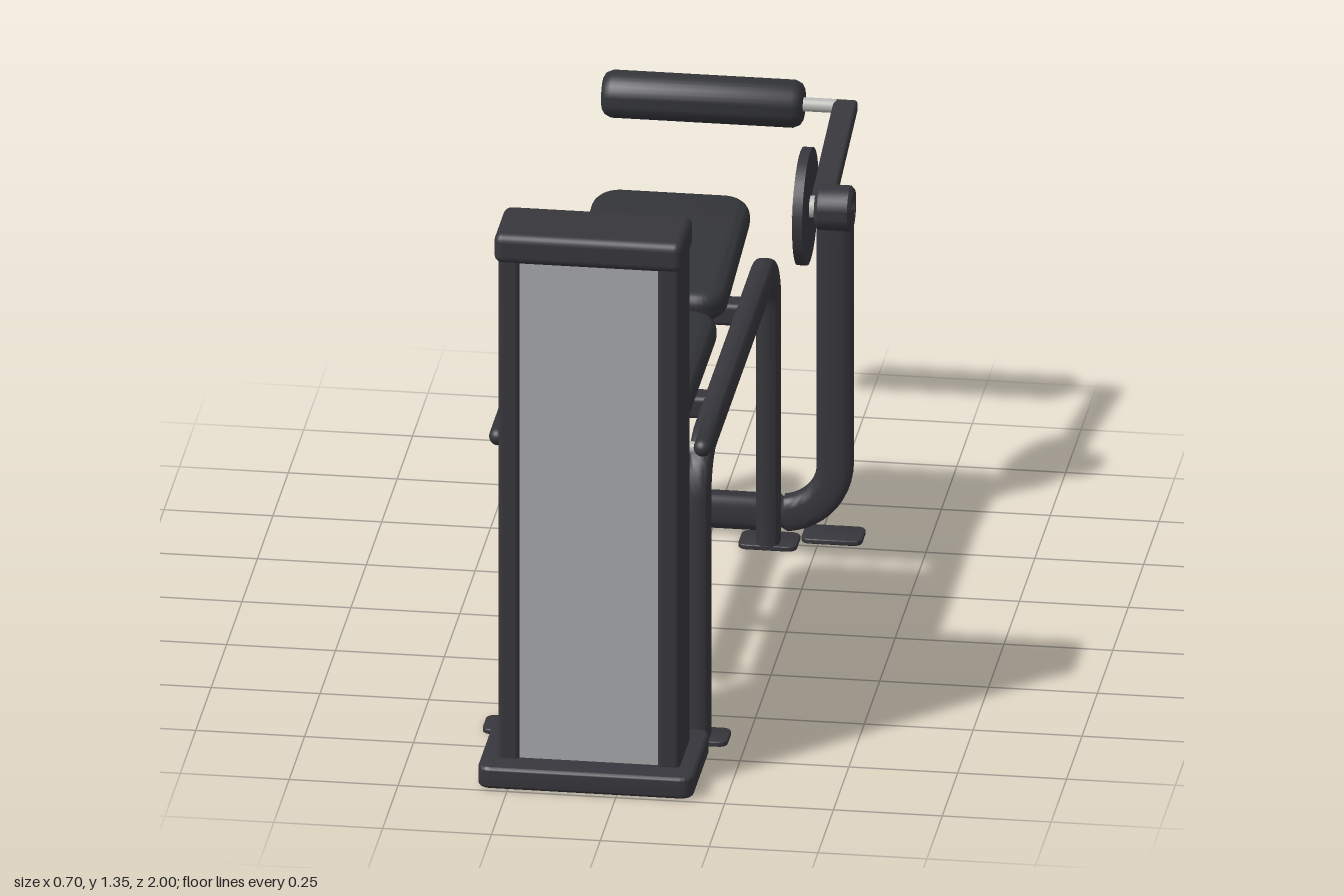
import * as THREE from 'three';
import { toCreasedNormals } from 'three/addons/utils/BufferGeometryUtils.js';
import { RoundedBoxGeometry } from 'three/addons/geometries/RoundedBoxGeometry.js';

const material = (name, color) => {
  const m = new THREE.MeshStandardMaterial({ color });
  m.name = name;
  return m;
};

// Sweeps a rounded-rectangle section (inPlane x outOfPlane) along a flat path in the xy plane.
function sweep(path, inPlane, outOfPlane) {
  const sides = 24, power = 0.6, pos = [], index = [];
  const curve = v => Math.sign(v) * Math.abs(v) ** power;
  let rings = 0, start, end;
  path.curves.forEach((c, k) => {
    const n = c.isLineCurve ? 1 : 12;
    for (let i = k ? 1 : 0; i <= n; i++) {
      const p = c.getPoint(i / n), t = c.getTangent(i / n);
      start ??= p;
      end = p;
      for (let j = 0; j < sides; j++) {
        const a = (j / sides) * Math.PI * 2;
        const u = curve(Math.cos(a)) * inPlane / 2, v = curve(Math.sin(a)) * outOfPlane / 2;
        pos.push(p.x - t.y * u, p.y + t.x * u, v);
      }
      rings++;
    }
  });
  for (let i = 0; i < rings - 1; i++) {
    for (let j = 0; j < sides; j++) {
      const a = i * sides + j, b = i * sides + (j + 1) % sides;
      index.push(a, b, a + sides, b, b + sides, a + sides);
    }
  }
  // end caps
  const c0 = rings * sides, last = (rings - 1) * sides;
  pos.push(start.x, start.y, 0, end.x, end.y, 0);
  for (let j = 0; j < sides; j++) {
    const k = (j + 1) % sides;
    index.push(c0, k, j, c0 + 1, last + j, last + k);
  }
  const g = new THREE.BufferGeometry();
  g.setAttribute('position', new THREE.Float32BufferAttribute(pos, 3));
  g.setIndex(index);
  return toCreasedNormals(g, 0.8);
}

// Flat slab with rounded corners in plan and softened edges, lying in xz and centred.
function slab(w, h, d, corner, bevel) {
  const x = w / 2 - bevel, y = d / 2 - bevel, r = corner - bevel;
  const s = new THREE.Shape();
  s.absarc(x - r, y - r, r, 0, Math.PI / 2);
  s.absarc(-x + r, y - r, r, Math.PI / 2, Math.PI);
  s.absarc(-x + r, -y + r, r, Math.PI, Math.PI * 1.5);
  s.absarc(x - r, -y + r, r, Math.PI * 1.5, Math.PI * 2);
  const g = new THREE.ExtrudeGeometry(s, {
    depth: h - 2 * bevel, bevelThickness: bevel, bevelSize: bevel, bevelSegments: 5, curveSegments: 8,
  });
  g.translate(0, 0, -h / 2 + bevel).rotateX(-Math.PI / 2);
  return toCreasedNormals(g, 0.7);
}

export function createModel() {
  const model = new THREE.Group();
  model.name = 'legCurlMachine';
  const frame = material('charcoal frame', 0x37363c);
  const pad = material('dark upholstery', 0x333438);
  const grey = material('grey panel', 0xa6a7a9);
  const steel = material('bright steel', 0xb8b8b4);

  const add = (name, geo, mat, x = 0, y = 0, z = 0, parent = model) => {
    const m = new THREE.Mesh(geo, mat);
    m.name = name;
    m.position.set(x, y, z);
    parent.add(m);
    return m;
  };
  // Box given by its extents, with optional edge rounding
  const block = (name, mat, x0, x1, y0, y1, z0, z1, r = 0) => {
    const size = [x1 - x0, y1 - y0, z1 - z0];
    const g = r ? new RoundedBoxGeometry(...size, 3, r) : new THREE.BoxGeometry(...size);
    return add(name, g, mat, (x0 + x1) / 2, (y0 + y1) / 2, (z0 + z1) / 2);
  };
  const rodX = (name, mat, r, x0, x1, y, z) =>
    add(name, new THREE.CylinderGeometry(r, r, x1 - x0, 32).rotateZ(Math.PI / 2), mat, (x0 + x1) / 2, y, z);

  const midX = -0.072;
  const sidesX = [-0.284, 0.14];

  // Weight tower
  add('towerBase', slab(0.495, 0.052, 0.295, 0.03, 0.008), frame, midX, 0.034, 0.8525);
  block('rightTowerUpright', frame, -0.28, -0.23, 0.05, 1.3, 0.77, 0.938, 0.012);
  block('leftTowerUpright', frame, 0.086, 0.138, 0.05, 1.3, 0.77, 0.938, 0.012);
  block('towerCap', frame, -0.289, 0.145, 1.282, 1.355, 0.763, 0.945, 0.02);
  block('frontPanel', grey, -0.232, 0.088, 0.06, 1.285, 0.92, 0.93);
  block('upperBackPanel', grey, -0.232, 0.088, 1.12, 1.285, 0.778, 0.788);

  // Weight stack
  for (let i = 0; i < 13; i++) {
    const y = 0.065 + i * 0.032;
    block('weightPlate', frame, -0.215, 0.07, y, y + 0.027, 0.785, 0.9);
  }
  block('stackCore', frame, -0.2, 0.055, 0.06, 0.48, 0.795, 0.89);
  block('stackTop', steel, -0.2, 0.055, 0.482, 0.498, 0.795, 0.89);
  add('selectorPin', new THREE.CylinderGeometry(0.013, 0.013, 0.045, 16).rotateX(Math.PI / 2),
    steel, midX, 0.39, 0.768);

  // Bench side frames: inverted U tubes running front to back
  const bench = new THREE.Path();
  bench.moveTo(0.64, 0.015);
  bench.lineTo(0.64, 0.602);
  bench.absarc(0.53, 0.602, 0.11, 0, Math.PI / 2);
  bench.lineTo(-0.382, 0.712);
  bench.absarc(-0.382, 0.602, 0.11, Math.PI / 2, Math.PI);
  bench.lineTo(-0.492, 0.015);
  const benchTube = sweep(bench, 0.073, 0.054);
  for (const x of sidesX) {
    add('benchSideFrame', benchTube, frame, x).rotation.y = -Math.PI / 2;
    const out = Math.sign(x);
    add('frontFoot', slab(0.095, 0.012, 0.088, 0.02, 0.003), frame, x + out * 0.022, 0.01, 0.635);
    add('rearFoot', slab(0.135, 0.012, 0.09, 0.02, 0.003), frame, x, 0.01, -0.502);
  }
  add('armFoot', slab(0.14, 0.012, 0.09, 0.02, 0.003), frame, 0.28, 0.01, -0.555);

  // Cross members and the link to the tower
  for (const z of [-0.17, 0.37]) block('seatCrossbar', frame, -0.284, 0.14, 0.69, 0.745, z - 0.03, z + 0.03, 0.012);
  rodX('lowerCrossbar', frame, 0.027, -0.284, 0.14, 0.175, 0.64);
  block('towerLink', frame, -0.1, -0.044, 0.15, 0.2, 0.64, 0.775, 0.01);

  // Upholstered pads and their backing boards
  add('longPad', slab(0.364, 0.074, 0.66, 0.065, 0.03), pad, midX, 0.794, 0.412);
  block('longPadSupport', frame, -0.2, 0.056, 0.74, 0.765, 0.15, 0.7);
  const tilted = new THREE.Group();
  tilted.name = 'tiltedPad';
  tilted.position.set(midX, 0.824, -0.217);
  tilted.rotation.x = 0.125;
  model.add(tilted);
  add('tiltedPadCushion', slab(0.364, 0.074, 0.488, 0.065, 0.03), pad, 0, 0, 0, tilted);
  block('tiltedPadSupport', frame, -0.14, -0.004, 0.73, 0.81, -0.2, -0.14);

  // Hand grips on a steel cross rod
  rodX('gripRod', steel, 0.014, -0.3, 0.16, 0.745, 0.685);
  for (const x of [-0.306, 0.164]) {
    add('handGrip', new THREE.CapsuleGeometry(0.021, 0.15, 6, 20).rotateX(Math.PI / 2), pad, x, 0.772, 0.67);
    block('gripBracket', steel, x - 0.009, x + 0.009, 0.735, 0.77, 0.673, 0.697);
  }

  // Rear bar bending up into the pivot post
  const post = new THREE.Path();
  post.moveTo(-0.29, 0.056);
  post.lineTo(0.155, 0.056);
  post.absarc(0.155, 0.184, 0.128, -Math.PI / 2, 0);
  post.lineTo(0.283, 0.82);
  add('rearBarAndPost', sweep(post, 0.084, 0.062), frame, 0, 0, -0.562);

  // Pivot: hub, cam disc and bearing
  const hubY = 0.818, hubZ = -0.56;
  add('pivotHub', toCreasedNormals(new THREE.LatheGeometry([
    [0, 0], [0.045, 0], [0.053, 0.008], [0.053, 0.077], [0.045, 0.085], [0.031, 0.085], [0.029, 0.081], [0, 0.081],
  ].map(p => new THREE.Vector2(...p)), 36), 0.6).rotateZ(-Math.PI / 2), frame, 0.24, hubY, hubZ);
  rodX('camDisc', frame, 0.135, 0.203, 0.226, hubY, hubZ);
  rodX('pivotBearing', steel, 0.062, 0.192, 0.204, hubY, hubZ);
  rodX('pivotShaft', steel, 0.025, 0.22, 0.245, hubY, hubZ);

  // Lever arm and leg roller
  const rollerY = 0.903, rollerZ = -0.945;
  const dy = rollerY - hubY, dz = hubZ - rollerZ;
  add('leverArm', new RoundedBoxGeometry(0.055, 0.032, Math.hypot(dy, dz) + 0.02, 3, 0.008), frame,
    0.252, (rollerY + hubY) / 2, (rollerZ + hubZ) / 2).rotation.x = Math.atan2(dy, dz);
  rodX('rollerAxle', steel, 0.016, -0.2, 0.25, rollerY, rollerZ);
  add('legRoller', toCreasedNormals(new THREE.LatheGeometry([
    [0, 0], [0.038, 0], [0.048, 0.006], [0.055, 0.022], [0.055, 0.438], [0.048, 0.454], [0.038, 0.46], [0, 0.46],
  ].map(p => new THREE.Vector2(...p)), 36), 0.7).rotateZ(-Math.PI / 2), pad, -0.304, rollerY, rollerZ);

  return model;
}
